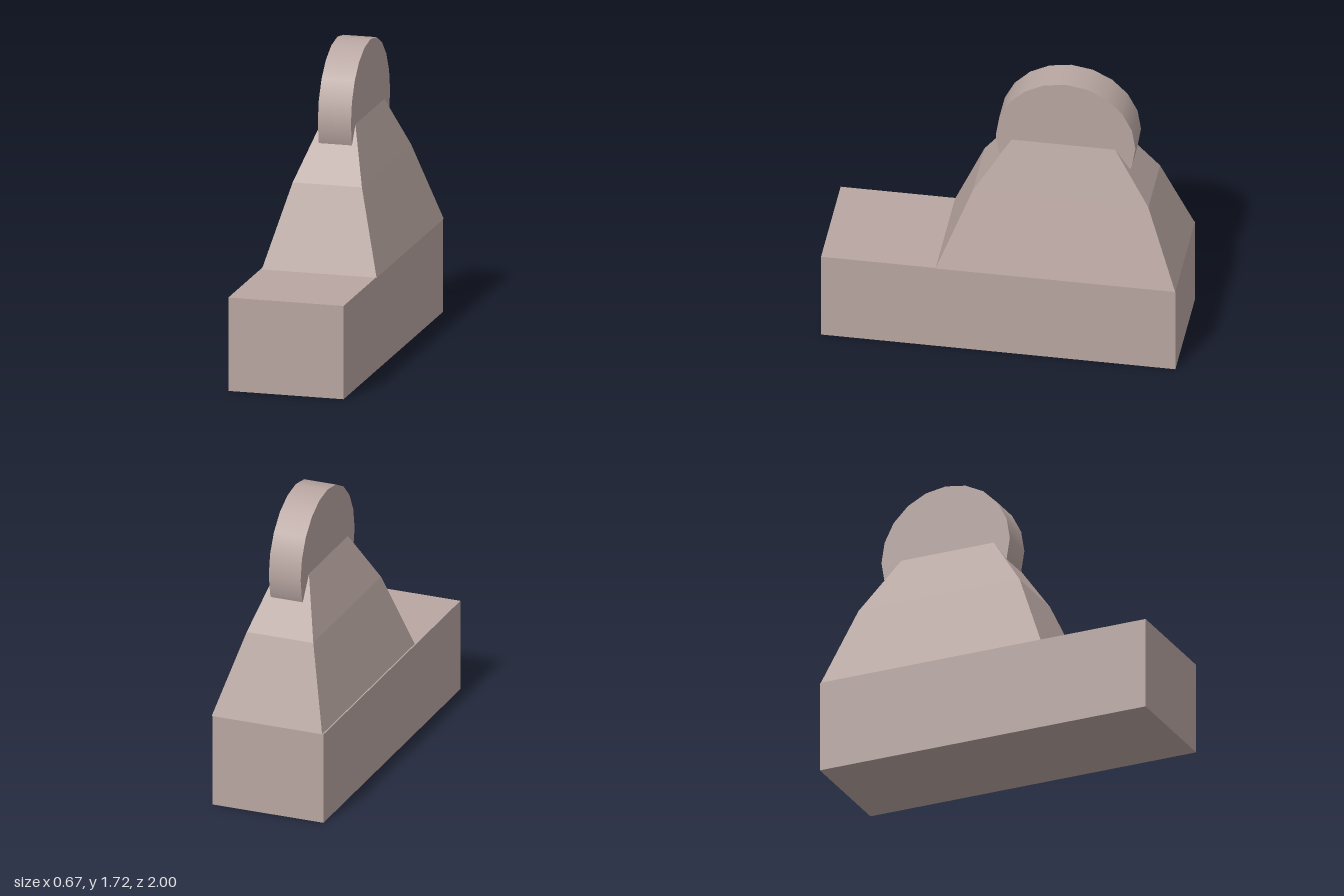
import * as THREE from 'three';

// Flat-sided solid lofted through rectangular sections [y, x0, x1, z0, z1]
function loftRects(sections) {
  const rings = sections.map(([y, x0, x1, z0, z1]) => [
    [x0, y, z1], [x1, y, z1], [x1, y, z0], [x0, y, z0],
  ]);
  const pos = [];
  const quad = (a, b, c, d) => [a, b, c, a, c, d].forEach((p) => pos.push(...p));
  for (let i = 0; i < rings.length - 1; i++) {
    for (let k = 0; k < 4; k++) {
      const n = (k + 1) % 4;
      quad(rings[i][k], rings[i][n], rings[i + 1][n], rings[i + 1][k]);
    }
  }
  const [a, b, c, d] = rings[0];
  quad(d, c, b, a); // underside
  quad(...rings[rings.length - 1]); // top
  const geo = new THREE.BufferGeometry();
  geo.setAttribute('position', new THREE.Float32BufferAttribute(pos, 3));
  geo.computeVertexNormals();
  return geo;
}

export function createModel() {
  const model = new THREE.Group();
  const stone = new THREE.MeshStandardMaterial({ color: 0xb8a6a1 });
  stone.name = 'warm grey stone';

  const add = (name, geo, x, y, z) => {
    const mesh = new THREE.Mesh(geo, stone);
    mesh.name = name;
    mesh.position.set(x, y, z);
    model.add(mesh);
    return mesh;
  };

  // Long block at ground level
  add('base', new THREE.BoxGeometry(0.668, 0.537, 2), -0.004, 0.2685, 0);

  // Tapering tower, flush with the back and overhanging slightly on its left
  add('tower', loftRects([
    [0.537, -0.33, 0.335, -1, 0.353],
    [1.0, -0.205, 0.196, -0.825, 0.165],
    [1.33, -0.087, 0.092, -0.605, -0.055],
  ]), 0, 0, 0);

  // Upright disc sunk into the tower top
  const disc = new THREE.CylinderGeometry(0.394, 0.394, 0.192, 20);
  disc.rotateZ(Math.PI / 2);
  add('disc', disc, 0.004, 1.325, -0.342);

  return model;
}
